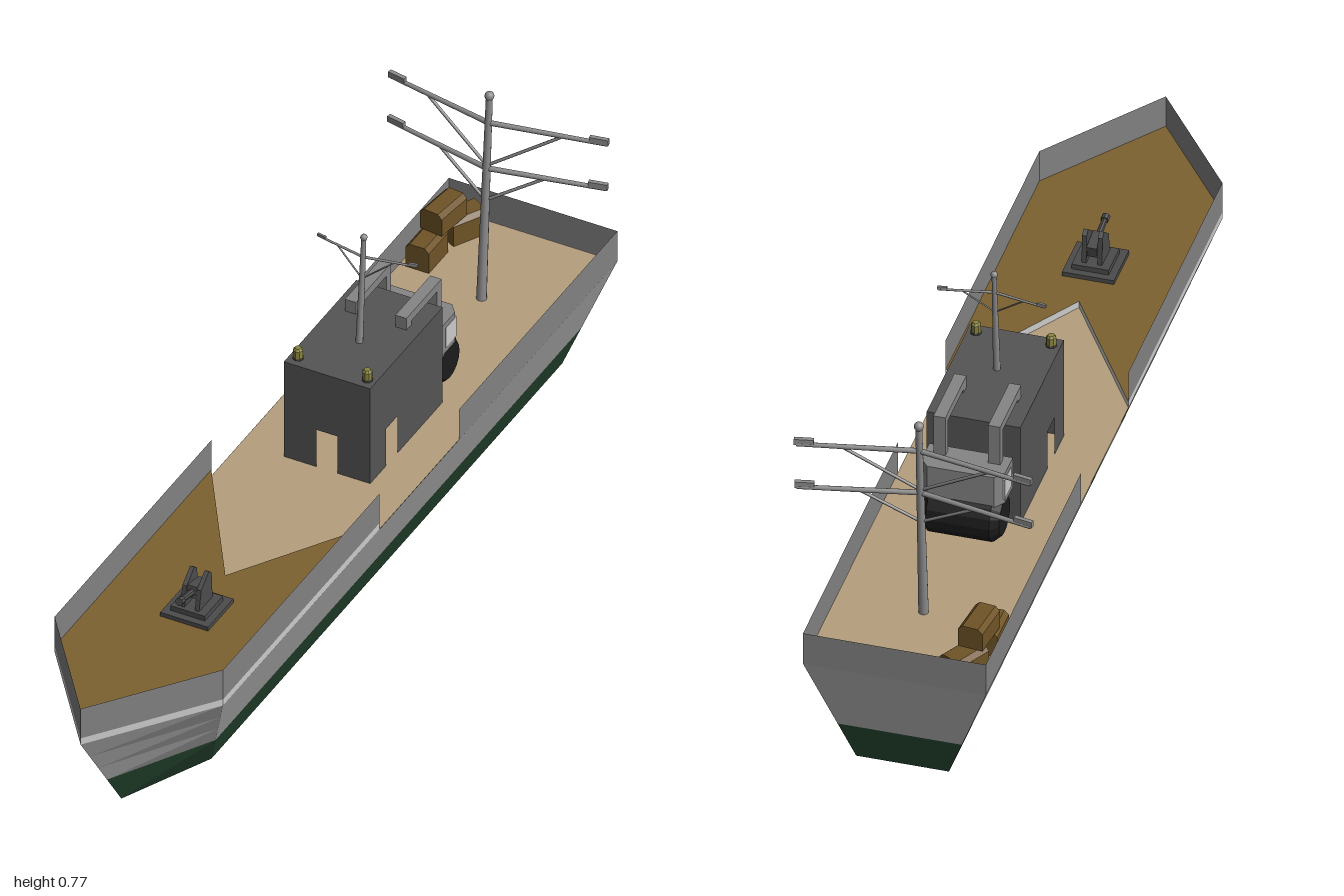
import * as THREE from 'three';

const mat = (color, flatShading = true) =>
  new THREE.MeshStandardMaterial({ color, flatShading, side: THREE.DoubleSide });
const M = {
  hull: mat(0xaaaaaa), keel: mat(0x24452f), bulwark: mat(0x828282), strip: mat(0xcccccc),
  tan: mat(0xb59f7e), brown: mat(0x7d6230), house: mat(0x555555), gun: mat(0x4c4c4c),
  mast: mat(0x8c8c8c, false), block: mat(0x858585), drum: mat(0x1c1c1c), crate: mat(0x6f5427), lamp: mat(0x8a8640),
};
const HX = -0.009;   // hull centre line
const DECK = 0.257;  // main deck height
const FORE = 0.273;  // raised foredeck height

function add(parent, name, geo, material, x = 0, y = 0, z = 0) {
  const m = new THREE.Mesh(geo, material);
  m.name = name;
  m.position.set(x, y, z);
  parent.add(m);
  return m;
}

const box = (parent, name, material, w, h, d, x, y, z) =>
  add(parent, name, new THREE.BoxGeometry(w, h, d), material, x, y, z);

// Round bar between two points
function bar(parent, name, a, b, r0, r1, material = M.mast, sides = 10) {
  const A = new THREE.Vector3(...a), B = new THREE.Vector3(...b);
  const m = add(parent, name, new THREE.CylinderGeometry(r1, r0, A.distanceTo(B), sides), material);
  m.position.copy(A).lerp(B, 0.5);
  m.quaternion.setFromUnitVectors(new THREE.Vector3(0, 1, 0), B.sub(A).normalize());
  return m;
}

// Plan outline of the hull at a height: starboard stern, round the bow, to port stern
function outline(y) {
  const t = y / DECK, L = THREE.MathUtils.lerp;
  const w = L(0.1, 0.197, t), stern = L(-0.94, -1, t), shoulder = L(0.61, 0.742, t), tip = L(0.82, 1, t);
  return [[-w, stern], [-w, shoulder], [0, tip], [w, shoulder], [w, stern]];
}

// Wall of quads between stacked rings of [x, y, z] points
function loft(rings, closed) {
  const n = rings[0].length, idx = [];
  for (let r = 0; r < rings.length - 1; r++)
    for (let i = 0; i < (closed ? n : n - 1); i++) {
      const a = r * n + i, b = r * n + (i + 1) % n;
      idx.push(a, b, b + n, a, b + n, a + n);
    }
  const g = new THREE.BufferGeometry();
  g.setAttribute('position', new THREE.Float32BufferAttribute(rings.flat(2), 3));
  g.setIndex(idx);
  g.computeVertexNormals();
  return g;
}
const ring = (y) => outline(y).map(([x, z]) => [x, y, z]);
const shape = (pts) => new THREE.Shape(pts.map(([x, y]) => new THREE.Vector2(x, y)));
const flat = (pts) => new THREE.ShapeGeometry(shape(pts)).rotateX(Math.PI / 2);
const wall = (pts, y0, y1) => loft([y0, y1].map((y) => pts.map(([x, z]) => [x, y, z])), false);

function makeHull() {
  const g = new THREE.Group();
  g.name = 'hull';
  g.position.x = HX;
  add(g, 'lowerHull', loft([ring(0), ring(0.09)], true), M.keel);
  add(g, 'hullBottom', flat(outline(0)), M.keel);
  add(g, 'upperHull', loft([0.09, 0.145, 0.2, DECK].map(ring), true), M.hull);
  const top = outline(DECK), w = 0.197;
  add(g, 'mainDeck', flat(top).scale(0.999, 1, 0.999), M.tan, 0, DECK);
  // Foredeck with a V-shaped rear edge
  const bow = [[-w, 0.05], ...top.slice(1, 4), [w, 0.05]];
  const fore = new THREE.ExtrudeGeometry(shape([...bow, [0, 0.36]]), { depth: FORE - DECK, bevelEnabled: false });
  add(g, 'foreDeck', fore.rotateX(Math.PI / 2), [M.brown, M.strip], 0, FORE);
  add(g, 'bowBulwark', wall(bow, FORE, 0.349), M.bulwark);
  add(g, 'sternBulwark', wall([[w, -0.3], [w, -1], [-w, -1], [-w, -0.3]], DECK, 0.335), M.bulwark);
  return g;
}

// Upright panel with an optional doorway (from a to b along its length)
function panel(from, to, h, door) {
  const pts = door
    ? [[from, 0], [door[0], 0], [door[0], 0.095], [door[1], 0.095], [door[1], 0], [to, 0], [to, h], [from, h]]
    : [[from, 0], [to, 0], [to, h], [from, h]];
  return new THREE.ShapeGeometry(shape(pts));
}

function makeHouse() {
  const g = new THREE.Group();
  g.name = 'deckHouse';
  g.position.set(-0.004, DECK, 0);
  const w = 0.101, h = 0.244, zf = -0.08, zb = -0.4;
  add(g, 'frontWall', panel(-w, w, h, [-0.025, 0.025]), M.house, 0, 0, zf);
  add(g, 'backWall', panel(-w, w, h), M.house, 0, 0, zb);
  for (const s of [-1, 1]) {
    add(g, 'sideWall', panel(0.08, 0.4, h, [0.15, 0.2]).rotateY(Math.PI / 2), M.house, s * w);
    // Corner lamps
    add(g, 'lamp', new THREE.CylinderGeometry(0.011, 0.011, 0.02, 8), M.lamp, s * 0.081, h + 0.012, -0.105);
    add(g, 'lampCap', new THREE.CylinderGeometry(0.007, 0.011, 0.005, 8), M.lamp, s * 0.081, h + 0.0245, -0.105);
    add(g, 'lampBase', new THREE.CylinderGeometry(0.012, 0.012, 0.004, 8), M.gun, s * 0.081, h + 0.002, -0.105);
  }
  box(g, 'roof', M.house, 2 * w, 0.006, zf - zb, 0, h - 0.003, (zf + zb) / 2);
  return g;
}

// Winch hung off the back of the house by two bent arms
function makeWinch() {
  const g = new THREE.Group();
  g.name = 'winch';
  g.position.x = -0.004;
  for (const s of [-1, 1]) {
    box(g, 'arm', M.block, 0.026, 0.02, 0.155, s * 0.059, 0.521, -0.3725);
    box(g, 'armFoot', M.block, 0.026, 0.014, 0.022, s * 0.059, 0.506, -0.306);
    box(g, 'armDrop', M.block, 0.026, 0.085, 0.02, s * 0.059, 0.47, -0.44);
    box(g, 'endPanel', M.strip, 0.004, 0.05, 0.048, s * 0.089, 0.397, -0.457);
  }
  const plan = [[-0.09, -0.418], [0.09, -0.418], [0.09, -0.475], [0.072, -0.497], [-0.072, -0.497], [-0.09, -0.475]];
  const body = new THREE.ExtrudeGeometry(shape(plan), { depth: 0.076, bevelEnabled: false });
  add(g, 'winchHousing', body.rotateX(Math.PI / 2), M.block, 0, 0.435);
  // Drum with tapered ends
  const profile = [[0, -0.085], [0.042, -0.085], [0.058, -0.068], [0.058, 0.068], [0.042, 0.085], [0, 0.085]];
  const drum = new THREE.LatheGeometry(profile.map(([x, y]) => new THREE.Vector2(x, y)), 16);
  add(g, 'drum', drum.rotateZ(Math.PI / 2), M.drum, 0, 0.316, -0.463);
  return g;
}

// Raked mast with swept yards: each yard is [height, half span, tip sweep, radius, strut x, strut foot height]
function makeMast(name, z0, y0, z1, y1, r, yards) {
  const g = new THREE.Group();
  g.name = name;
  const zAt = (y) => z0 + (z1 - z0) * (y - y0) / (y1 - y0);
  bar(g, 'pole', [0, y0, z0], [0, y1, z1], r, r * 0.65, M.mast, 12);
  add(g, 'topBall', new THREE.SphereGeometry(r * 0.95, 12, 8), M.mast, 0, y1, z1);
  for (const [y, span, sweep, yr, sx, sy] of yards)
    for (const s of [-1, 1]) {
      const z = zAt(y), tip = span - 0.022 * yr / 0.006;
      bar(g, 'yard', [0, y, z], [s * span * 0.98, y, z - sweep], yr, yr * 0.8);
      bar(g, 'strut', [0, sy, zAt(sy)], [s * sx, y - yr * 0.5, z - sweep * sx / span], yr * 0.6, yr * 0.6, M.mast, 6);
      const end = box(g, 'yardEnd', M.mast, 2 * (span - tip) * 0.94, yr * 2.4, yr * 1.6,
        s * (tip + 0.001), y + yr * 1.1, z - sweep * tip / span);
      end.rotation.y = s * Math.atan2(sweep, span);
    }
  return g;
}

function makeGun() {
  const g = new THREE.Group();
  g.name = 'deckGun';
  g.position.set(-0.006, FORE, 0.492);
  box(g, 'basePlate', M.gun, 0.112, 0.01, 0.112, 0, 0.005, 0);
  box(g, 'turntable', M.gun, 0.08, 0.012, 0.08, 0, 0.016, 0);
  const side = shape([[-0.028, 0], [0.032, 0], [0.022, 0.05], [-0.012, 0.077], [-0.024, 0.068]]);
  for (const s of [-1, 1]) {
    const cheek = new THREE.ExtrudeGeometry(side, { depth: 0.01, bevelEnabled: false });
    add(g, 'cheek', cheek.rotateY(-Math.PI / 2), M.gun, s * 0.017 + 0.005, 0.02, 0);
  }
  box(g, 'breech', M.gun, 0.022, 0.026, 0.05, 0, 0.055, -0.002).rotation.x = -0.2;
  bar(g, 'barrel', [0, 0.055, 0], [0, 0.07, 0.076], 0.008, 0.006, M.gun, 8);
  bar(g, 'muzzle', [0, 0.068, 0.066], [0, 0.0705, 0.079], 0.009, 0.009, M.gun, 8);
  return g;
}

// Crate with chamfered upper edges
function crate(parent, w, h, d, x, y, z, turn) {
  const b = 0.01, a = w / 2;
  const s = shape([[-a, 0], [a, 0], [a, h - b], [a - b, h], [b - a, h], [-a, h - b]]);
  const geo = new THREE.ExtrudeGeometry(s, { depth: d, bevelEnabled: false }).translate(0, 0, -d / 2);
  add(parent, 'crate', geo, M.crate, x, y, z).rotation.y = turn;
}

export function createModel() {
  const model = new THREE.Group();
  model.name = 'patrolShip';
  model.add(makeHull(), makeHouse(), makeWinch(), makeGun());
  model.add(makeMast('mainMast', -0.755, DECK, -0.79, 0.756, 0.011, [
    [0.69, 0.257, 0.048, 0.006, 0.155, 0.585],
    [0.578, 0.257, 0.052, 0.006, 0.12, 0.5],
  ]));
  model.add(makeMast('houseMast', -0.215, 0.5, -0.235, 0.756, 0.008, [[0.708, 0.117, 0.022, 0.003, 0.065, 0.655]]));
  // Stack of crates on the starboard quarter
  const cargo = new THREE.Group();
  cargo.name = 'cargo';
  crate(cargo, 0.055, 0.06, 0.085, -0.164, DECK, -0.823, 0);
  crate(cargo, 0.06, 0.06, 0.085, -0.141, DECK, -0.938, -0.5);
  crate(cargo, 0.055, 0.052, 0.092, -0.157, DECK + 0.06, -0.884, -0.12);
  model.add(cargo);
  return model;
}
